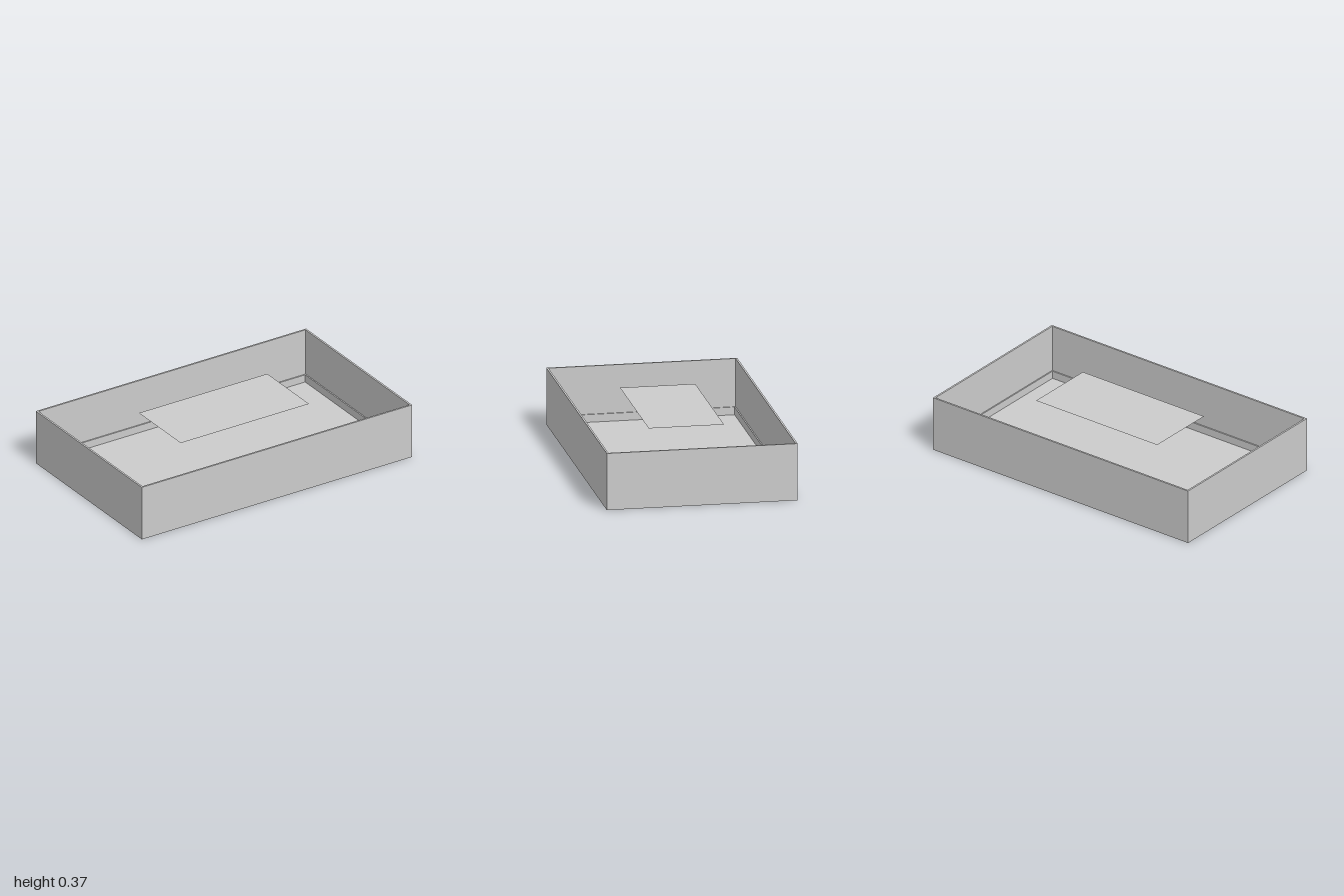
import * as THREE from 'three';

const W = 2, D = 1.205, H = 0.365;

export function createModel() {
  const group = new THREE.Group();
  const material = new THREE.MeshStandardMaterial({ color: 0xcccccc, flatShading: true });
  const sheetMaterial = new THREE.MeshStandardMaterial({ color: 0xcccccc, side: THREE.DoubleSide });

  const add = (name, geometry, y, mat = material) => {
    const mesh = new THREE.Mesh(geometry, mat);
    mesh.name = name;
    mesh.position.y = y;
    group.add(mesh);
  };

  const rectangle = (target, w, d) => {
    target.moveTo(-w / 2, -d / 2);
    target.lineTo(w / 2, -d / 2);
    target.lineTo(w / 2, d / 2);
    target.lineTo(-w / 2, d / 2);
    target.closePath();
    return target;
  };

  // Upright rectangular ring, inset from the outer size
  const frame = (inset, thickness, height) => {
    const w = W - 2 * inset, d = D - 2 * inset;
    const shape = rectangle(new THREE.Shape(), w, d);
    shape.holes.push(rectangle(new THREE.Path(), w - 2 * thickness, d - 2 * thickness));
    const geometry = new THREE.ExtrudeGeometry(shape, { depth: height, bevelEnabled: false });
    return geometry.rotateX(-Math.PI / 2);
  };

  // Open tray: four walls, a low inner ledge and a thin floor
  add('walls', frame(0, 0.012, H), 0);
  add('innerLedge', frame(0.012, 0.008, 0.05), 0.005);
  add('floor', new THREE.BoxGeometry(W - 0.024, 0.005, D - 0.024), 0.0025);

  // Thin sheet hovering level with the rim
  add('centrePanel', new THREE.PlaneGeometry(0.95, 0.475).rotateX(-Math.PI / 2), 0.362, sheetMaterial);

  return group;
}
